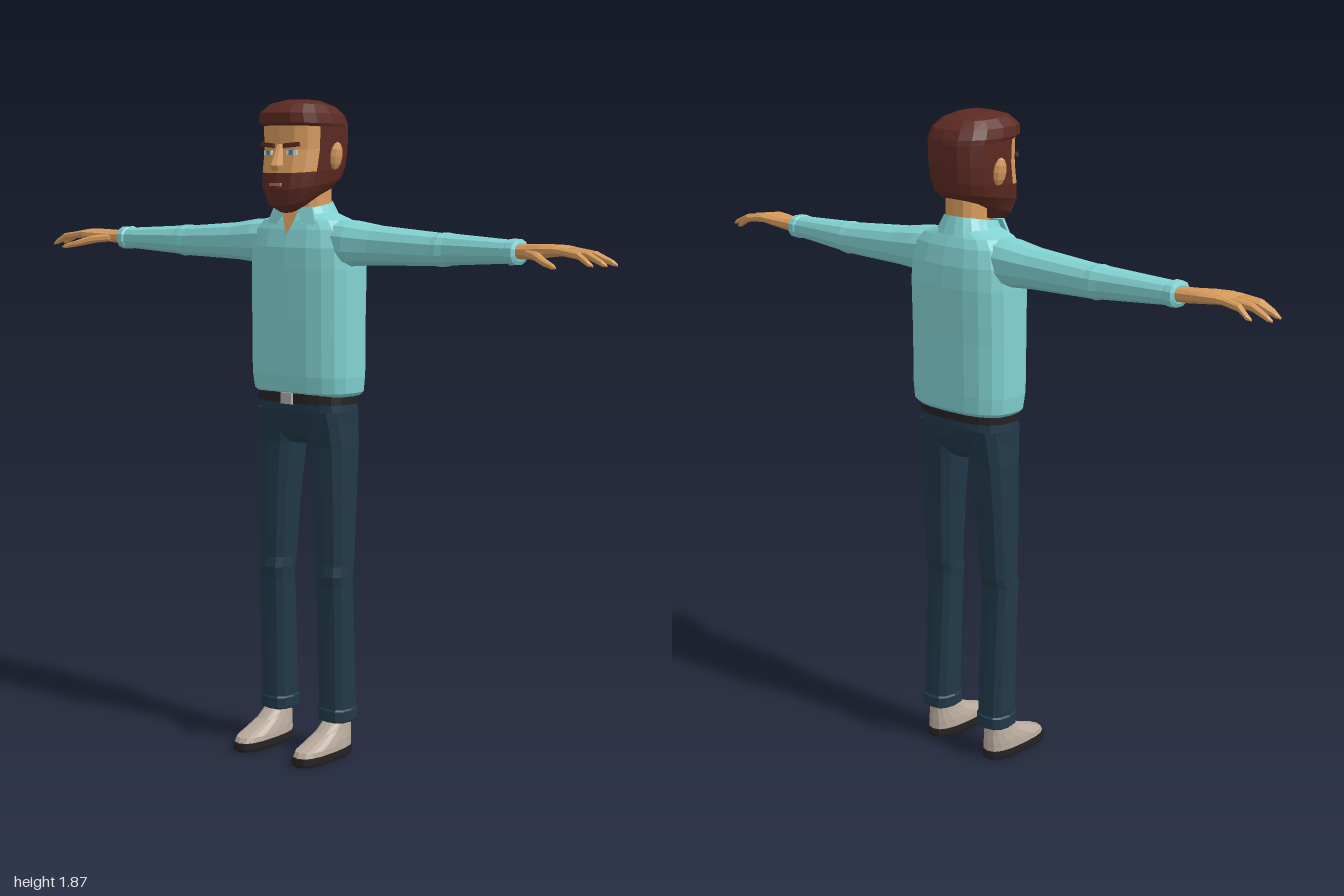
import * as THREE from 'three';

const mat = (name, color, side = THREE.FrontSide) =>
  Object.assign(new THREE.MeshStandardMaterial({ color, side }), { name });

// Signed power: squares off an ellipse
const sp = (v, e) => Math.sign(v) * Math.abs(v) ** e;

// Level ring starting at the front; yf and yb let it tilt from front to back
function ring({ yf, yb = yf, zf, zb, hw, cx = 0 }, n = 16, e = 0.77, from = 0, to = Math.PI * 2) {
  const pts = [];
  const open = to - from < 6.28;
  for (let k = 0; k < n; k++) {
    const t = from + (to - from) * k / (open ? n - 1 : n);
    const c = sp(Math.cos(t), e);
    pts.push(new THREE.Vector3(cx + hw * sp(Math.sin(t), e),
      yb + (yf - yb) * (c + 1) / 2, (zf + zb) / 2 + (zf - zb) / 2 * c));
  }
  return pts;
}

// Upright ring across an arm or finger, given its centre and half sizes
function armRing([x, y, z, ry, rz], s, n) {
  return Array.from({ length: n }, (_, k) => {
    const t = Math.PI * 2 * (k + 0.5) / n;
    return new THREE.Vector3(s * x, y + ry * sp(Math.sin(t), 0.85), z + rz * sp(Math.cos(t), 0.85));
  });
}

// Skin over rings with flat faces; pick(row, column) chooses a material index
function loft(rings, pick = () => 0, closed = true) {
  const n = rings[0].length, buckets = [];
  const tri = (m, a, b, c) => (buckets[m] ??= []).push([a, b, c]);
  for (let r = 0; r < rings.length - 1; r++) {
    for (let k = 0; k < (closed ? n : n - 1); k++) {
      const j = (k + 1) % n, A = rings[r], B = rings[r + 1], m = pick(r, Math.min(k, n - 1 - k));
      tri(m, A[k], A[j], B[j]);
      tri(m, A[k], B[j], B[k]);
    }
  }
  if (closed) {
    const mid = (R) => R.reduce((v, p) => v.add(p), new THREE.Vector3()).divideScalar(n);
    const A = rings[0], B = rings[rings.length - 1], ca = mid(A), cb = mid(B);
    for (let k = 0; k < n; k++) {
      const j = (k + 1) % n;
      tri(0, ca, A[j], A[k]);
      tri(0, cb, B[k], B[j]);
    }
  }
  // Turn the faces outward
  let vol = 0;
  buckets.forEach((b) => b.forEach(([p, q, r]) => { vol += p.dot(q.clone().cross(r)); }));
  const g = new THREE.BufferGeometry(), out = [];
  buckets.forEach((b, m) => {
    g.addGroup(out.length, b.length * 3, m);
    b.forEach(([p, q, r]) => out.push(...(vol < 0 ? [p, r, q] : [p, q, r])));
  });
  g.setFromPoints(out);
  g.computeVertexNormals();
  return g;
}

// Turns rows of [y, zf, zb, hw, cx] into a level loft
const stack = (rows, n, e) =>
  loft(rows.map(([yf, zf, zb, hw, cx = 0]) => ring({ yf, zf, zb, hw, cx }, n, e)));

// Thin plate cut from an outline
function plate(points, depth) {
  const shape = new THREE.Shape(points.map(([x, y]) => new THREE.Vector2(x, y)));
  return new THREE.ExtrudeGeometry(shape, { depth, bevelEnabled: false });
}

export function createModel() {
  const root = new THREE.Group();
  root.name = 'man';
  const shirt = mat('shirt teal', 0x82d2d2, THREE.DoubleSide);
  const denim = mat('trouser navy', 0x213848);
  const hair = mat('hair brown', 0x5c2a22);
  const skin = mat('skin', 0xd69a5c);
  const shoe = mat('shoe grey', 0xb8aa9c);
  const black = mat('sole and belt black', 0x252223);
  const metal = mat('buckle', 0xb4afa8);
  const white = mat('eye white', 0xe4e0d8);
  const iris = mat('iris', 0x4f8790);
  const lip = mat('lip', 0xb0705c);

  const add = (name, geometry, material, x = 0, y = 0, z = 0) => {
    const m = new THREE.Mesh(geometry, material);
    m.name = name;
    m.position.set(x, y, z);
    root.add(m);
    return m;
  };

  // Torso
  add('shirtBody', stack([
    [1.045, 0.05, -0.128, 0.162], [1.055, 0.06, -0.138, 0.172], [1.1, 0.066, -0.14, 0.177],
    [1.25, 0.068, -0.141, 0.177], [1.4, 0.07, -0.146, 0.177], [1.46, 0.068, -0.142, 0.174],
    [1.51, 0.056, -0.13, 0.16], [1.535, 0.046, -0.118, 0.135], [1.55, 0.038, -0.11, 0.09],
    [1.56, 0.03, -0.105, 0.065]], 20, 0.75), shirt);

  // Collar, open at the front
  const gap = [18, 0.85, 0.42, Math.PI * 2 - 0.42];
  add('collar', loft([
    ring({ yf: 1.525, yb: 1.54, zf: 0.055, zb: -0.12, hw: 0.092 }, ...gap),
    ring({ yf: 1.565, yb: 1.59, zf: 0.045, zb: -0.103, hw: 0.066 }, ...gap)],
  () => 0, false), shirt);
  const chest = add('openNeck', plate([[-0.028, 0.07], [0, 0], [0.028, 0.07]], 0.006), skin, 0, 1.495, 0.058);
  chest.rotation.x = -0.25;
  add('neck', stack([[1.52, 0.01, -0.1, 0.056], [1.6, 0.005, -0.1, 0.054], [1.67, 0.005, -0.1, 0.054]], 12), skin);

  // Head: material 0 hair and beard, 1 skin
  const headRows = [
    [1.555, 1.63, 0.065, -0.07, 0.042], [1.575, 1.638, 0.1, -0.11, 0.07],
    [1.62, 1.655, 0.109, -0.126, 0.09], [1.665, 1.685, 0.102, -0.136, 0.098],
    [1.73, 1.73, 0.09, -0.142, 0.101], [1.795, 1.785, 0.091, -0.143, 0.103],
    [1.802, 1.8, 0.109, -0.14, 0.106], [1.83, 1.825, 0.111, -0.128, 0.101],
    [1.855, 1.847, 0.08, -0.1, 0.08], [1.867, 1.862, 0.03, -0.06, 0.045]];
  add('head', loft(headRows.map(([yf, yb, zf, zb, hw]) => ring({ yf, yb, zf, zb, hw })),
    (r, k) => (r > 2 && r < 5 && k < 3 ? 1 : 0)), [hair, skin]);
  add('nose', stack([[1.672, 0.112, 0.07, 0.016], [1.686, 0.126, 0.07, 0.019],
    [1.745, 0.097, 0.07, 0.009]], 8, 0.9), skin);
  add('mouth', new THREE.BoxGeometry(0.04, 0.009, 0.008), lip, 0, 1.634, 0.107);

  // Belt and hips
  add('belt', stack([[1.022, 0.058, -0.127, 0.157], [1.052, 0.056, -0.127, 0.157]], 20), black);
  add('buckle', new THREE.BoxGeometry(0.04, 0.032, 0.008), metal, 0, 1.036, 0.06);
  add('hips', stack([[0.905, 0.015, -0.085, 0.04], [0.93, 0.03, -0.105, 0.1],
    [0.965, 0.042, -0.118, 0.157], [1.0, 0.052, -0.125, 0.157], [1.035, 0.053, -0.123, 0.154]], 20), denim);

  for (const s of [1, -1]) {
    const side = s > 0 ? 'left' : 'right';

    // Leg rows: y, front z, back z, inner x, outer x
    add(side + 'Leg', stack([
      [0.1, 0.01, -0.088, 0.064, 0.156], [0.105, 0.017, -0.096, 0.057, 0.161],
      [0.135, 0.017, -0.095, 0.057, 0.161], [0.14, 0.014, -0.09, 0.06, 0.158],
      [0.3, 0.018, -0.083, 0.058, 0.158], [0.5, 0.022, -0.07, 0.057, 0.158],
      [0.53, 0.028, -0.07, 0.055, 0.159], [0.56, 0.022, -0.078, 0.056, 0.158],
      [0.75, 0.027, -0.09, 0.045, 0.16], [0.9, 0.03, -0.103, 0.03, 0.16],
      [1.0, 0.045, -0.115, 0.01, 0.154]].map(([y, f, b, i, o]) =>
      [y, f, b, (o - i) / 2, s * (i + o) / 2]), 12), denim);

    // Shoe
    const foot = s * 0.111;
    add(side + 'Sole', stack([[0, 0.148, -0.08, 0.043, foot], [0.008, 0.152, -0.083, 0.046, foot],
      [0.026, 0.152, -0.083, 0.046, foot]], 16), black);
    add(side + 'Shoe', stack([[0.024, 0.147, -0.08, 0.044, foot], [0.04, 0.138, -0.08, 0.043, foot],
      [0.053, 0.1, -0.08, 0.041, foot], [0.075, 0.045, -0.078, 0.036, foot],
      [0.105, 0.005, -0.076, 0.031, foot], [0.13, 0, -0.076, 0.029, foot]], 16), shoe);

    // Sleeve with elbow crease and cuff
    const arm = (name, rows, n, m) => add(side + name, loft(rows.map((r) => armRing(r, s, n))), m);
    arm('Sleeve', [
      [0.09, 1.475, -0.035, 0.066, 0.068], [0.17, 1.472, -0.034, 0.064, 0.07],
      [0.25, 1.469, -0.037, 0.055, 0.06], [0.45, 1.464, -0.04, 0.045, 0.05],
      [0.47, 1.464, -0.04, 0.047, 0.052], [0.49, 1.465, -0.04, 0.043, 0.048],
      [0.69, 1.466, -0.026, 0.031, 0.038], [0.695, 1.466, -0.025, 0.035, 0.043],
      [0.715, 1.466, -0.025, 0.034, 0.042], [0.72, 1.466, -0.025, 0.024, 0.032]], 12, shirt);

    // Hand
    arm('Palm', [
      [0.7, 1.466, -0.025, 0.02, 0.029], [0.75, 1.468, -0.024, 0.02, 0.031],
      [0.8, 1.472, -0.018, 0.018, 0.044], [0.85, 1.475, -0.013, 0.015, 0.05],
      [0.885, 1.473, -0.012, 0.011, 0.047]], 10, skin);
    [[0.97, 0.036, 0.022], [0.995, 0.01, -0.001], [1, -0.033, -0.024], [0.955, -0.056, -0.047]].forEach(([tx, tz, bz], i) => {
      const mid = 0.87 + (tx - 0.87) * 0.55;
      arm('Finger' + (i + 1), [
        [0.86, 1.475, bz, 0.01, 0.0115], [mid, 1.466, (bz + tz) / 2, 0.01, 0.0105],
        [tx - 0.012, 1.447, tz, 0.0075, 0.008], [tx, 1.442, tz, 0.003, 0.004]], 8, skin);
    });
    arm('Thumb', [
      [0.755, 1.465, -0.005, 0.012, 0.018], [0.8, 1.46, 0.026, 0.012, 0.019],
      [0.84, 1.448, 0.055, 0.01, 0.015], [0.878, 1.438, 0.073, 0.007, 0.01],
      [0.888, 1.436, 0.077, 0.003, 0.004]], 8, skin);

    // Face details
    const ear = new THREE.SphereGeometry(1, 8, 6).scale(0.014, 0.039, 0.022).toNonIndexed();
    ear.computeVertexNormals();
    add(side + 'Ear', ear, skin, s * 0.106, 1.712, -0.028).rotation.z = -s * 0.15;
    add(side + 'Eye', new THREE.BoxGeometry(0.032, 0.013, 0.006), white, s * 0.042, 1.721, 0.086).rotation.y = s * 0.15;
    add(side + 'Iris', new THREE.BoxGeometry(0.013, 0.013, 0.006), iris, s * 0.041, 1.721, 0.088).rotation.y = s * 0.15;
    add(side + 'Brow', new THREE.BoxGeometry(0.05, 0.012, 0.009), hair, s * 0.043, 1.742, 0.089).rotation.set(0, s * 0.15, s * 0.08);

    // Collar point
    add(side + 'CollarPoint', plate([[0.02, 0.062], [0.068, 0.07], [0.086, 0.025], [0.058, 0]]
      .map(([x, y]) => [s * x, y]), 0.007), shirt, 0, 1.508, 0.056).rotation.set(-0.25, s * 0.2, 0);
  }
  return root;
}
